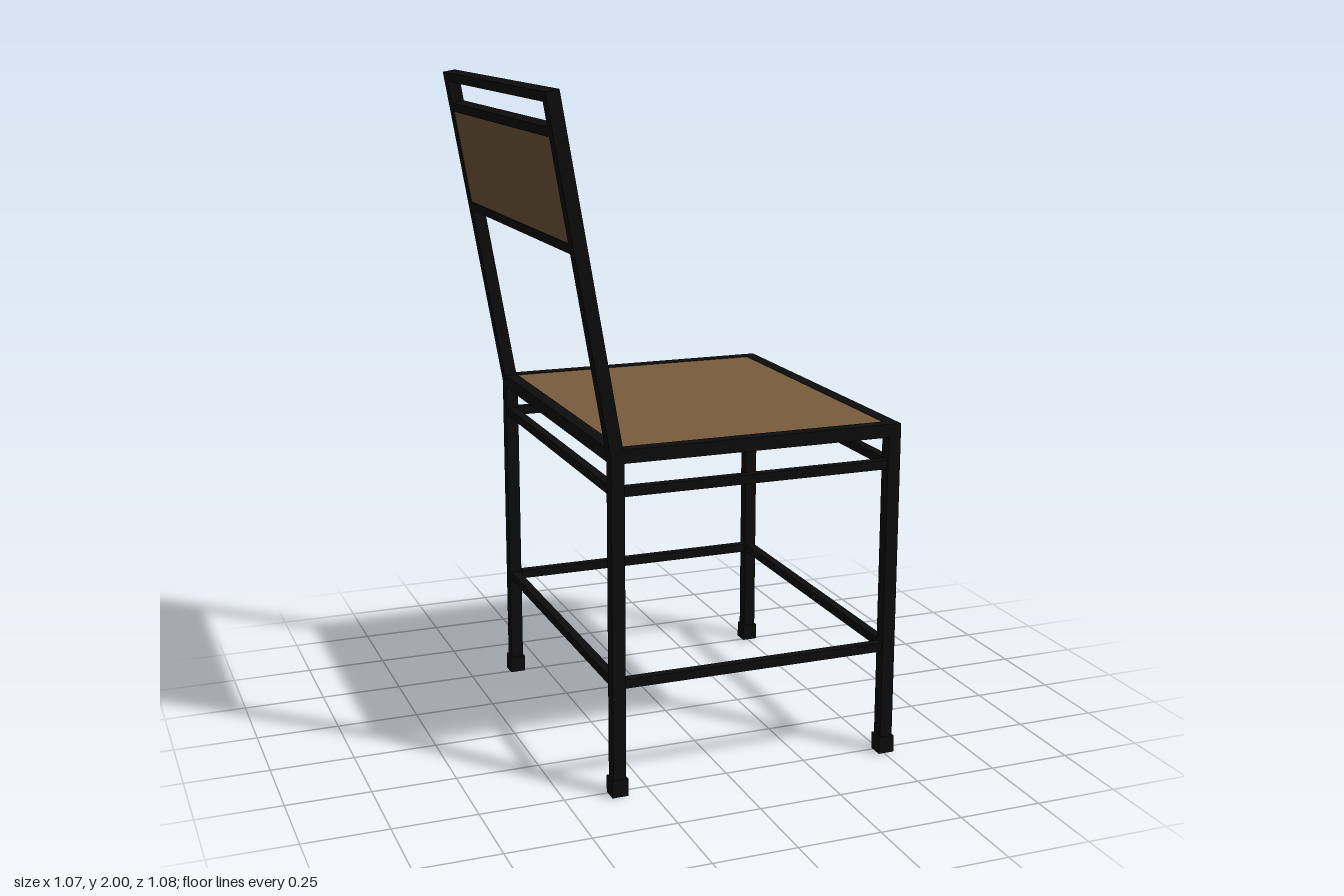
import * as THREE from 'three';

const steel = new THREE.MeshStandardMaterial({ color: 0x0d0d0d });
steel.name = 'black steel';
const wood = new THREE.MeshStandardMaterial({ color: 0x795c3d });
wood.name = 'brown wood';

const BACK = -0.344, FRONT = 0.507, SIDE = 0.515; // leg centre lines
const TUBE = 0.039, THIN = 0.027;
const MID = (BACK + FRONT) / 2;
const SPAN_X = FRONT - BACK - TUBE, SPAN_Z = 2 * SIDE - TUBE;

function box(parent, name, material, size, pos) {
  const mesh = new THREE.Mesh(new THREE.BoxGeometry(...size), material);
  mesh.name = name;
  mesh.position.set(...pos);
  parent.add(mesh);
  return mesh;
}

// Four bars joining the legs at one height
function ring(parent, name, y, t) {
  const group = new THREE.Group();
  group.name = name;
  for (const s of [-1, 1]) box(group, 'sideBar', steel, [SPAN_X, t, t], [MID, y, s * SIDE]);
  for (const x of [BACK, FRONT]) box(group, 'crossBar', steel, [t, t, SPAN_Z], [x, y, 0]);
  parent.add(group);
}

export function createModel() {
  const chair = new THREE.Group();
  chair.name = 'chair';

  // Legs with square feet
  for (const x of [BACK, FRONT]) {
    for (const s of [-1, 1]) {
      box(chair, 'leg', steel, [TUBE, 1.022, TUBE], [x, 0.511, s * SIDE]);
      box(chair, 'foot', steel, [0.049, 0.052, 0.049], [x, 0.026, s * SIDE]);
    }
  }

  // Seat frame, lower rails and stretchers
  ring(chair, 'seatFrame', 1.0025, TUBE);
  ring(chair, 'seatRails', 0.9, THIN);
  ring(chair, 'stretchers', 0.337, THIN);

  // Seat panel set into the frame
  box(chair, 'seat', wood, [SPAN_X, 0.025, SPAN_Z], [MID, 1.008, 0]);

  // Backrest leaning away from the seat
  const back = new THREE.Group();
  back.name = 'backrest';
  back.position.set(BACK, 1.0, 0);
  back.rotation.z = THREE.MathUtils.degToRad(9.8);
  chair.add(back);
  const length = 1.011;
  for (const s of [-1, 1]) box(back, 'backPost', steel, [TUBE, length, TUBE], [0, length / 2, s * SIDE]);
  box(back, 'topRail', steel, [TUBE, 0.028, SPAN_Z], [0, length - 0.014, 0]);
  box(back, 'upperPanelRail', steel, [TUBE, THIN, SPAN_Z], [0, 0.903, 0]);
  box(back, 'lowerPanelRail', steel, [TUBE, 0.028, SPAN_Z], [0, 0.589, 0]);
  box(back, 'backPanel', wood, [0.034, 0.288, SPAN_Z], [0, 0.746, 0]);

  return chair;
}
